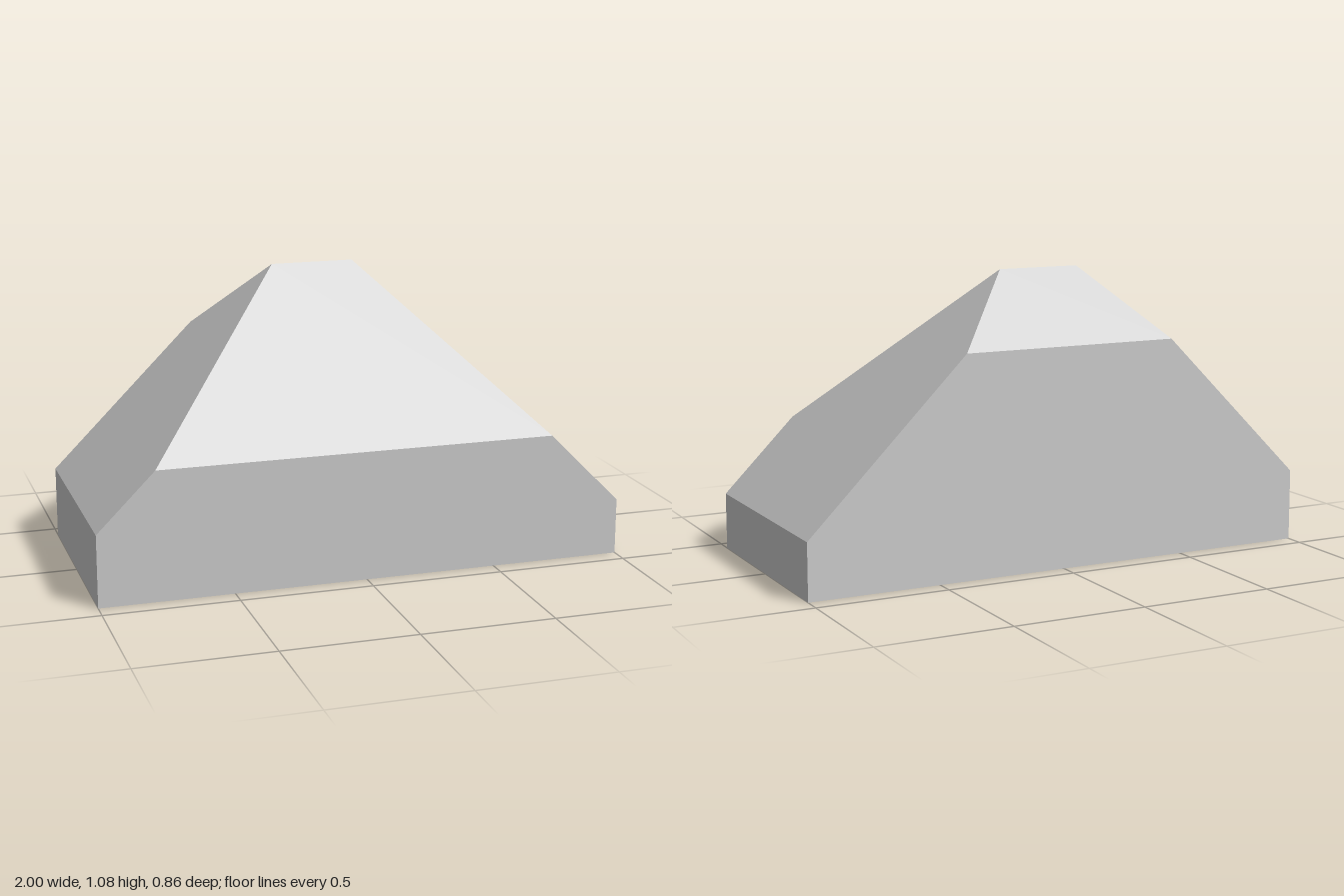
import * as THREE from 'three';
import { ConvexGeometry } from 'three/addons/geometries/ConvexGeometry.js';

export function createModel() {
  const halfWidth = 1, halfDepth = 0.428;
  const ridge = { y: 1.083, z: -0.167, left: 0.13, right: -0.188 };

  // All four slopes fall at 45 degrees from a short, off-centre ridge.
  const points = [];
  const add = (x, y, z) => points.push(new THREE.Vector3(x, y, z));
  add(ridge.left, ridge.y, ridge.z);
  add(ridge.right, ridge.y, ridge.z);

  for (const z of [-halfDepth, halfDepth]) {
    // Eave edge on the front or back wall
    const drop = Math.abs(z - ridge.z);
    add(ridge.left + drop, ridge.y - drop, z);
    add(ridge.right - drop, ridge.y - drop, z);

    // Base and eave corners of the two end walls
    for (const [x, start] of [[halfWidth, ridge.left], [-halfWidth, ridge.right]]) {
      add(x, 0, z);
      add(x, ridge.y - Math.abs(x - start), z);
    }
  }

  const body = new THREE.Mesh(
    new ConvexGeometry(points),
    new THREE.MeshStandardMaterial({ color: 0xcccccc, flatShading: true })
  );
  body.name = 'hippedBlock';

  const model = new THREE.Group();
  model.name = 'hippedRoofBlock';
  model.add(body);
  return model;
}
